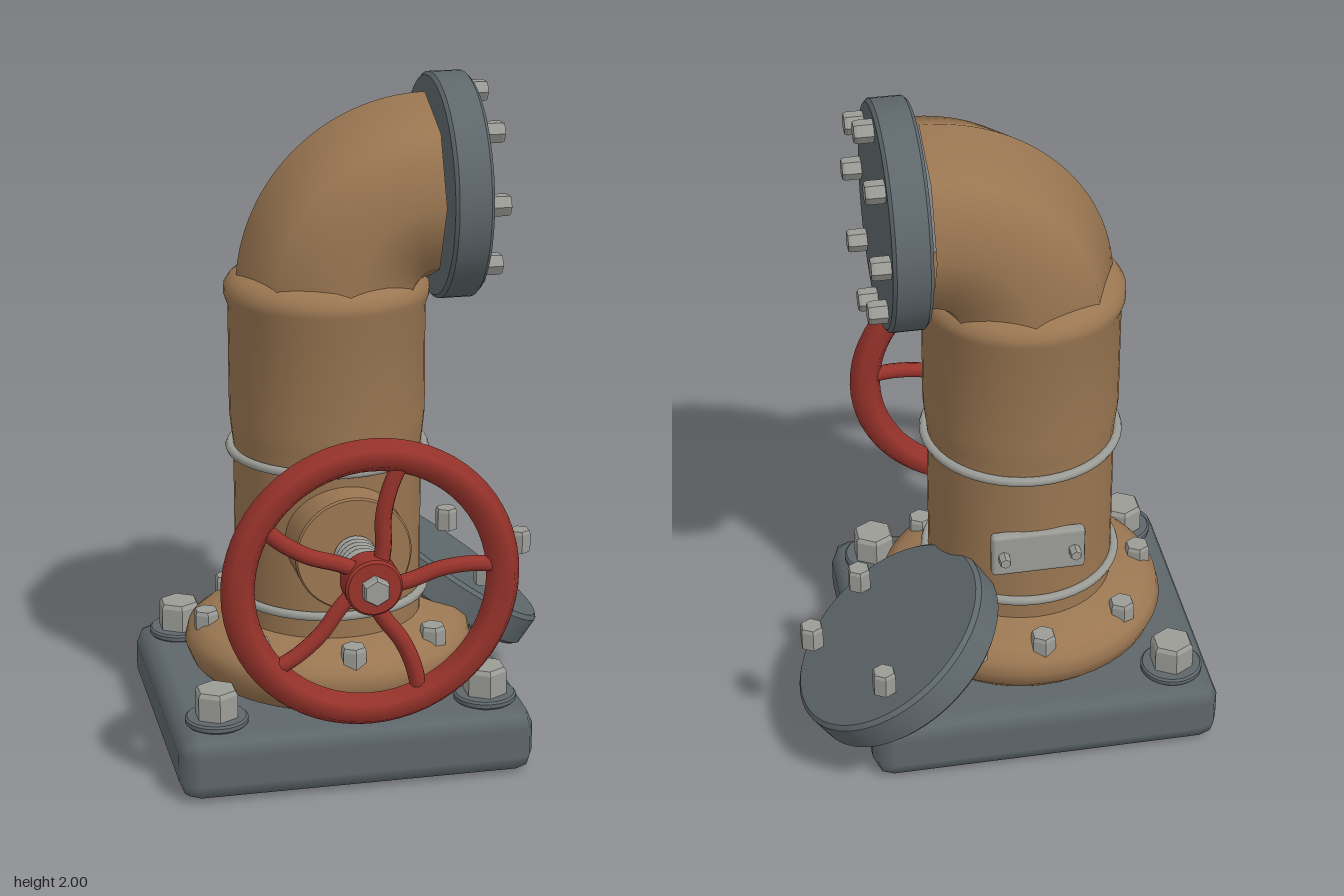
import * as THREE from 'three';
import { toCreasedNormals } from 'three/addons/utils/BufferGeometryUtils.js';
import { RoundedBoxGeometry } from 'three/addons/geometries/RoundedBoxGeometry.js';

const material = (name, color) => new THREE.MeshStandardMaterial({ name, color });

export function createModel() {
  const bronze = material('bronze', 0x9b7752);
  const slate = material('slate', 0x5e676b);
  const steel = material('steel', 0x9c9c97);
  const red = material('red', 0x98332b);

  const model = new THREE.Group();
  model.name = 'valvePipe';
  const AX = -0.1, AZ = -0.031; // pipe axis

  const add = (parent, name, geo, mat, x = 0, y = 0, z = 0) => {
    const mesh = new THREE.Mesh(geo, mat);
    mesh.name = name;
    mesh.position.set(x, y, z);
    parent.add(mesh);
    return mesh;
  };
  const group = (name, x = 0, y = 0, z = 0) => {
    const g = new THREE.Group();
    g.name = name;
    g.position.set(x, y, z);
    model.add(g);
    return g;
  };
  // Turned solid from [radius, height] pairs, listed bottom to top
  const turned = (points, sides = 48, crease = 0.6) =>
    toCreasedNormals(new THREE.LatheGeometry(points.map(p => new THREE.Vector2(...p)), sides), crease);
  const bolt = (r, h) => turned([[0, 0], [r, 0], [r, h * 0.85], [r * 0.88, h], [0, h]], 6, 0.3);
  const disc = (r, h, b) =>
    turned([[0, 0], [r - b, 0], [r, b], [r, h - b], [r - b, h], [0, h]], 64);

  // Base slab with four anchor bolts
  add(model, 'baseSlab', new RoundedBoxGeometry(1.05, 0.2, 0.96, 1, 0.058), slate, AX, 0.1, AZ);
  for (const sx of [-1, 1]) for (const sz of [-1, 1]) {
    const anchor = group('anchorBolt', AX + sx * 0.4, 0.198, AZ + sz * 0.346);
    add(anchor, 'washer', disc(0.092, 0.024, 0.006), slate);
    add(anchor, 'bolt', bolt(0.066, 0.085), steel, 0, 0.022, 0);
  }

  // Swollen foot flange and its ring of bolts
  add(model, 'footFlange', turned([
    [0.33, 0.19], [0.37, 0.21], [0.41, 0.25], [0.43, 0.3], [0.42, 0.34],
    [0.385, 0.368], [0.34, 0.382], [0.27, 0.4]], 48, 1.2), bronze, AX, 0, AZ);
  for (let i = 0; i < 8; i++) {
    const a = i * Math.PI / 4;
    add(model, 'footBolt', bolt(0.039, 0.075), steel,
      AX + 0.37 * Math.cos(a), 0.335, AZ + 0.37 * Math.sin(a));
  }

  // Upright pipe with a slightly wider collar at its top
  add(model, 'pipe', turned([
    [0.277, 0.36], [0.277, 0.92], [0.282, 0.96], [0.288, 1.02], [0.288, 1.34],
    [0.3, 1.375], [0.299, 1.4], [0.285, 1.422], [0.265, 1.437], [0.22, 1.452]], 48, 1.2),
    bronze, AX, 0, AZ);
  for (const y of [0.47, 0.907]) {
    add(model, 'clampRing', new THREE.TorusGeometry(0.286, 0.014, 8, 48), steel, AX, y, AZ)
      .rotation.x = Math.PI / 2;
  }

  // Eight-sided elbow turning toward +x
  add(model, 'elbow', new THREE.TorusGeometry(0.28, 0.278, 8, 32, Math.PI / 2), bronze, 0.19, 1.39, AZ)
    .rotation.z = Math.PI / 2;

  // Blind flange closing the elbow, bolts facing +x
  const cap = group('endFlange', 0.204, 1.672, AZ);
  cap.rotation.z = -Math.PI / 2;
  add(cap, 'disc', disc(0.328, 0.113, 0.01), slate);
  for (let i = 0; i < 8; i++) {
    const a = i * Math.PI / 4;
    add(cap, 'bolt', bolt(0.033, 0.06), steel, 0.272 * Math.cos(a), 0.108, 0.272 * Math.sin(a));
  }

  // Valve boss and ribbed stem, built along +y then turned toward +z
  const valve = group('valve', AX, 0.695, 0);
  valve.rotation.x = Math.PI / 2;
  add(valve, 'boss', turned([[0.17, 0.05], [0.17, 0.34], [0.165, 0.346], [0, 0.346]]), bronze);
  add(valve, 'stem', turned([[0.047, 0.33], [0.047, 0.55]], 24), steel);
  for (let i = 0; i < 5; i++) {
    add(valve, 'stemRib', new THREE.TorusGeometry(0.05, 0.013, 8, 24), steel, 0, 0.36 + i * 0.025, 0)
      .rotation.x = Math.PI / 2;
  }
  add(valve, 'hub', turned([
    [0, 0.526], [0.075, 0.526], [0.082, 0.534], [0.082, 0.609], [0.075, 0.617], [0, 0.617]], 32), red);
  add(valve, 'hubBolt', bolt(0.041, 0.045), steel, 0, 0.608, 0);

  // Handwheel with five curved spokes
  const wheel = group('handwheel', AX, 0.695, 0.572);
  add(wheel, 'rim', new THREE.TorusGeometry(0.378, 0.048, 6, 64), red);
  const spokePath = new THREE.CatmullRomCurve3(
    [[0.05, -14], [0.11, -1], [0.2, 7], [0.29, 6], [0.37, 3]].map(([r, deg]) => {
      const a = THREE.MathUtils.degToRad(deg);
      return new THREE.Vector3(r * Math.cos(a), r * Math.sin(a), 0);
    }));
  const spoke = new THREE.TubeGeometry(spokePath, 16, 0.024, 8);
  for (let i = 0; i < 5; i++) {
    add(wheel, 'spoke', spoke, red).rotation.z = i * Math.PI * 2 / 5 + 0.02;
  }

  // Small plate bolted on the back of the pipe
  const plate = group('backPlate', AX, 0.65, -0.306);
  add(plate, 'plate', new RoundedBoxGeometry(0.28, 0.14, 0.036, 1, 0.012), steel);
  for (const s of [-1, 1]) {
    add(plate, 'rivet', bolt(0.018, 0.04), steel, s * 0.105, 0, -0.012).rotation.x = -Math.PI / 2;
  }

  // Loose lid leaning on the foot, with its bolts standing free above it
  const lid = group('looseLid', 0.322, 0.365, -0.317);
  lid.rotation.z = THREE.MathUtils.degToRad(-35.5);
  add(lid, 'disc', disc(0.332, 0.11, 0.012), slate, 0, -0.055, 0);
  for (let i = 0; i < 5; i++) {
    const a = i * Math.PI * 2 / 5;
    add(model, 'looseBolt', bolt(0.036, 0.07), steel,
      0.321 + 0.255 * Math.cos(a), 0.405, -0.317 + 0.255 * Math.sin(a));
  }

  return model;
}
